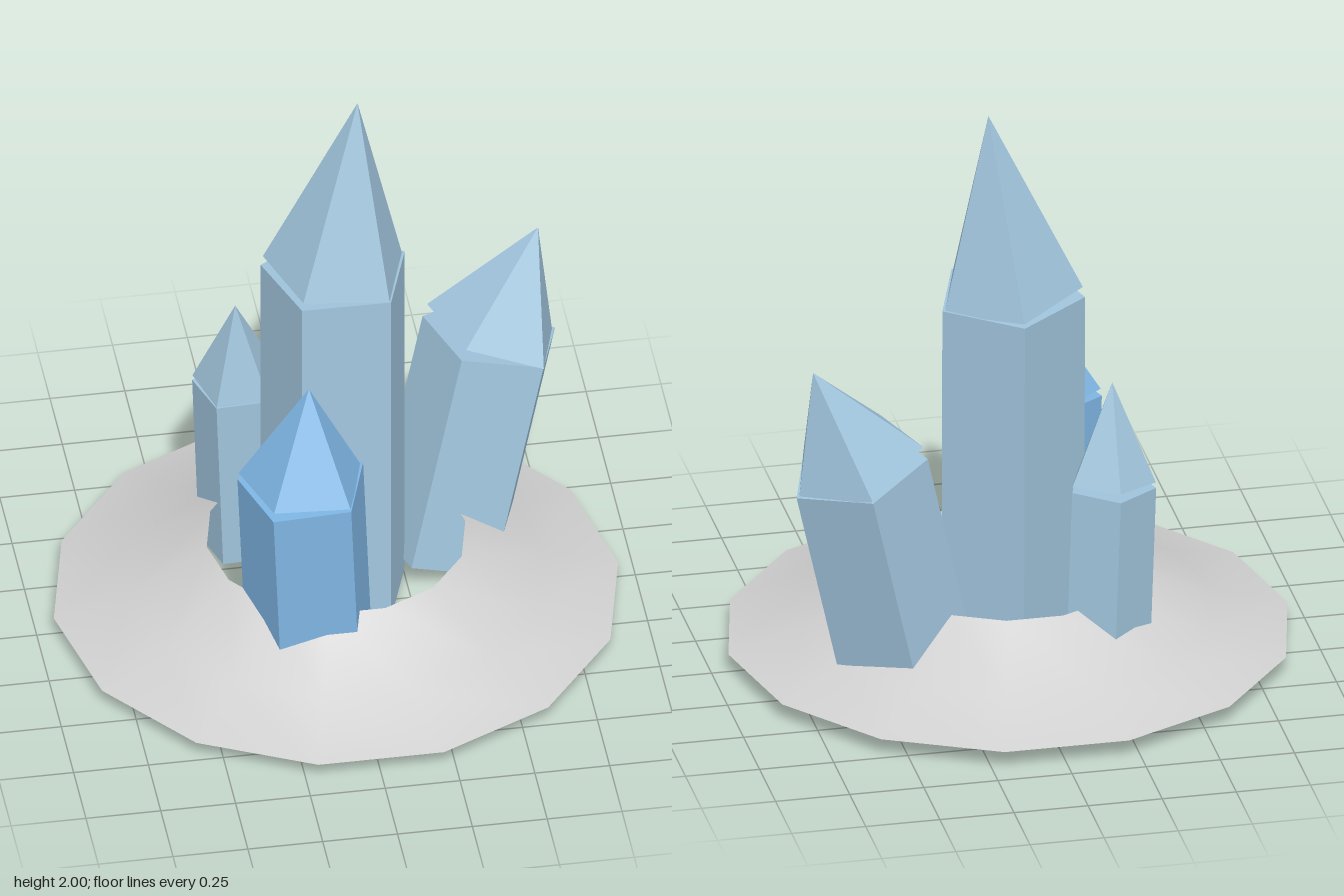
import * as THREE from 'three';

const paleBlue = new THREE.MeshStandardMaterial({ color: 0xa0c4dc, flatShading: true });
paleBlue.name = 'pale blue crystal';
const brightBlue = new THREE.MeshStandardMaterial({ color: 0x7fb6e4, flatShading: true });
brightBlue.name = 'bright blue crystal';
const stoneGrey = new THREE.MeshStandardMaterial({ color: 0xd0d0d0, side: THREE.DoubleSide });
stoneGrey.name = 'stone grey';

// Five-sided cylinder or cone running between two points, one corner facing the back
function pentagonalPart(name, material, from, to, bottomRadius, topRadius) {
  const a = new THREE.Vector3(...from);
  const axis = new THREE.Vector3(...to).sub(a);
  const length = axis.length();
  const geometry = topRadius > 0
    ? new THREE.CylinderGeometry(topRadius, bottomRadius, length, 5, 1, false, Math.PI)
    : new THREE.ConeGeometry(bottomRadius, length, 5, 1, false, Math.PI);
  geometry.translate(0, length / 2, 0);
  const mesh = new THREE.Mesh(geometry, material);
  mesh.name = name;
  mesh.position.copy(a);
  mesh.quaternion.setFromUnitVectors(new THREE.Vector3(0, 1, 0), axis.normalize());
  return mesh;
}

// Leaning shaft with a separately tilted pointed tip
function crystal({ name, material, foot, shoulder, radius, tipBase, apex, tipRadius }) {
  const group = new THREE.Group();
  group.name = name;
  group.add(pentagonalPart('shaft', material, foot, shoulder, radius, radius));
  group.add(pentagonalPart('tip', material, tipBase, apex, tipRadius, 0));
  return group;
}

const crystals = [
  {
    name: 'mainCrystal', material: paleBlue, radius: 0.253, tipRadius: 0.247,
    foot: [0.005, 0.06, -0.02], shoulder: [0.015, 1.33, -0.08],
    tipBase: [0.015, 1.342, -0.08], apex: [0.09, 2, -0.11],
  },
  {
    name: 'leaningCrystal', material: paleBlue, radius: 0.238, tipRadius: 0.238,
    foot: [0.39, 0.06, -0.21], shoulder: [0.57, 0.845, -0.285],
    tipBase: [0.575, 0.858, -0.284], apex: [0.73, 1.23, -0.335],
  },
  {
    name: 'frontCrystal', material: brightBlue, radius: 0.221, tipRadius: 0.217,
    foot: [-0.13, 0.06, 0.3], shoulder: [-0.16, 0.77, 0.315],
    tipBase: [-0.16, 0.78, 0.315], apex: [-0.14, 1.15, 0.3],
  },
  {
    name: 'smallBackCrystal', material: paleBlue, radius: 0.149, tipRadius: 0.148,
    foot: [-0.255, 0.06, -0.33], shoulder: [-0.278, 0.715, -0.325],
    tipBase: [-0.278, 0.73, -0.325], apex: [-0.29, 1.07, -0.285],
  },
];

export function createModel() {
  const model = new THREE.Group();
  model.name = 'crystalCluster';

  // Open, smooth skirt of rock around the crystals
  const profile = [[0.943, 0.065], [0.69, 0.14], [0.432, 0.3]].map(([r, y]) => new THREE.Vector2(r, y));
  const rock = new THREE.Mesh(new THREE.LatheGeometry(profile, 14, Math.PI / 2), stoneGrey);
  rock.name = 'rockSkirt';
  model.add(rock);

  crystals.forEach((c) => model.add(crystal(c)));
  return model;
}
